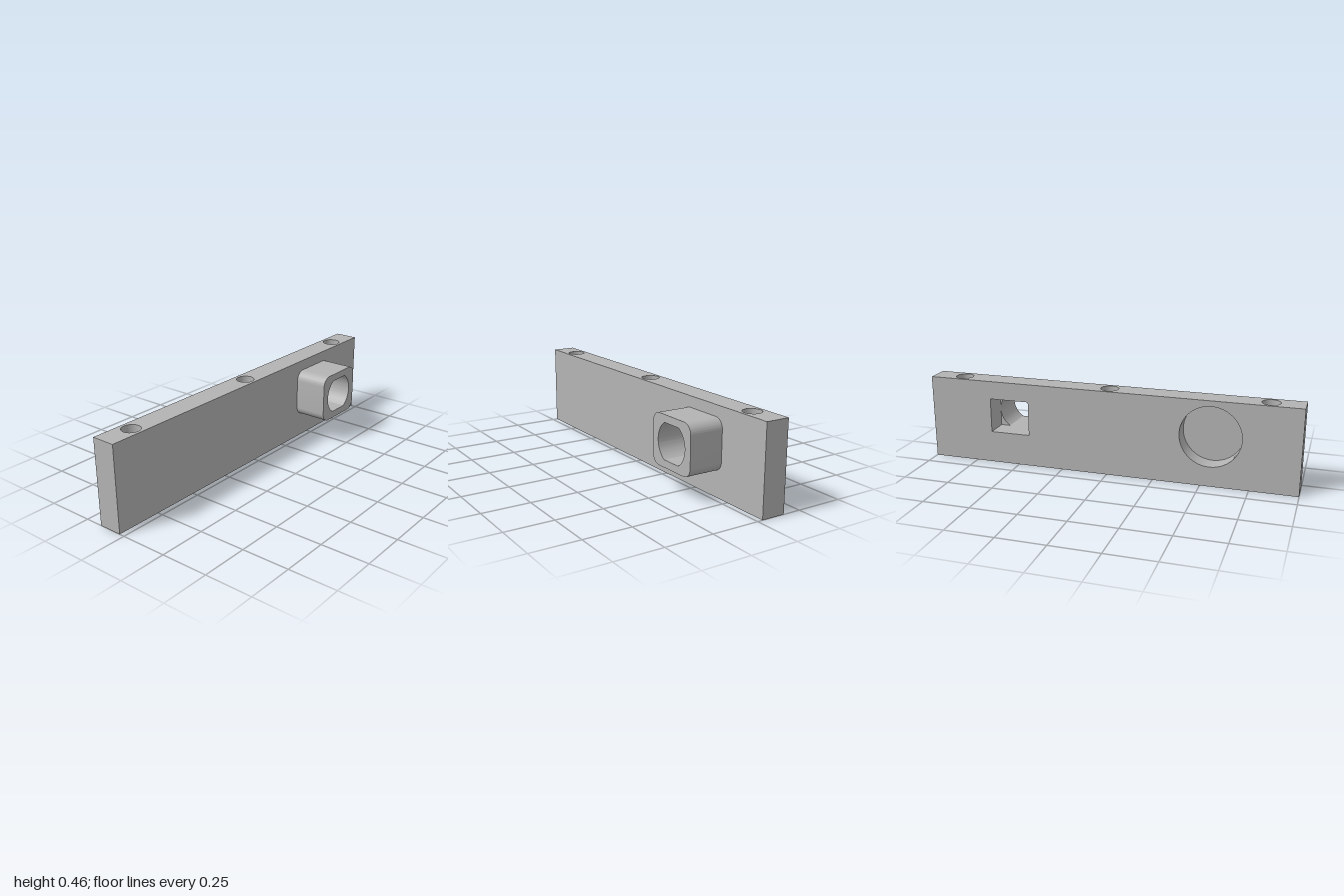
import * as THREE from 'three';
import { toCreasedNormals } from 'three/addons/utils/BufferGeometryUtils.js';

const X0 = -0.154, X1 = -0.028, X2 = 0.154, H = 0.456; // plate back, plate front, boss end, height
const XM = (X0 + X1) / 2, CY = 0.266, SLOT_Z = -0.546, POCKET_Z = 0.546;
const POCKET_R = 0.16, POCKET_DEPTH = 0.1, BORE_R = 0.047;

function rect(w, h, cx = 0, cy = 0, Type = THREE.Shape) {
  const s = new Type();
  s.moveTo(cx - w / 2, cy - h / 2);
  s.lineTo(cx + w / 2, cy - h / 2);
  s.lineTo(cx + w / 2, cy + h / 2);
  s.lineTo(cx - w / 2, cy + h / 2);
  s.closePath();
  return s;
}

function circle(cx, cy, r) {
  const p = new THREE.Path();
  p.absarc(cx, cy, r, 0, Math.PI * 2, false);
  return p;
}

function roundedRect(w, h, r, cx, cy) {
  const s = new THREE.Shape(), a = w / 2 - r, b = h / 2 - r, q = Math.PI / 2;
  s.absarc(cx + a, cy + b, r, 0, q, false);
  s.absarc(cx - a, cy + b, r, q, 2 * q, false);
  s.absarc(cx - a, cy - b, r, 2 * q, 3 * q, false);
  s.absarc(cx + a, cy - b, r, 3 * q, 4 * q, false);
  s.closePath();
  return s;
}

export function createModel() {
  const group = new THREE.Group();
  const grey = new THREE.MeshStandardMaterial({ color: 0xb3b3b3, side: THREE.DoubleSide });
  grey.name = 'grey';
  const add = (name, geo) => {
    const m = new THREE.Mesh(geo, grey);
    m.name = name;
    group.add(m);
    return m;
  };

  // Side faces of the plate; shape x runs along -z
  const outer = rect(2, H, 0, H / 2);
  outer.holes.push(rect(0.218, 0.186, -SLOT_Z, CY, THREE.Path));
  add('plateLeftFace', new THREE.ShapeGeometry(outer).rotateY(Math.PI / 2).translate(X1, 0, 0));
  const inner = rect(2, H, 0, H / 2);
  inner.holes.push(rect(0.218, 0.186, SLOT_Z, CY, THREE.Path), circle(POCKET_Z, CY, POCKET_R));
  add('plateRightFace', new THREE.ShapeGeometry(inner, 32).rotateY(-Math.PI / 2).translate(X0, 0, 0));

  // Top and bottom edges with three bores
  const edge = rect(X1 - X0, 2, XM, 0);
  const boreZ = [-0.83, 0, 0.83];
  boreZ.forEach(z => edge.holes.push(circle(XM, z, BORE_R)));
  add('plateTop', new THREE.ShapeGeometry(edge, 24).rotateX(-Math.PI / 2).translate(0, H, 0));
  add('plateBottom', new THREE.ShapeGeometry(edge, 24).rotateX(Math.PI / 2));
  boreZ.forEach(z => add('boreWall',
    new THREE.CylinderGeometry(BORE_R, BORE_R, H, 48, 1, true).translate(XM, H / 2, z)));

  // Plate ends
  const end = () => new THREE.PlaneGeometry(X1 - X0, H);
  add('plateFront', end().translate(XM, H / 2, 1));
  add('plateBack', end().rotateY(Math.PI).translate(XM, H / 2, -1));

  // Rectangular opening through the plate
  for (const s of [-1, 1]) {
    add('slotWall', new THREE.PlaneGeometry(X1 - X0, 0.218)
      .rotateX(s * Math.PI / 2).translate(XM, CY + s * 0.093, SLOT_Z));
    add('slotWall', new THREE.PlaneGeometry(X1 - X0, 0.186)
      .rotateY(s > 0 ? Math.PI : 0).translate(XM, CY, SLOT_Z + s * 0.109));
  }

  // Blind round pocket
  add('pocketWall', new THREE.CylinderGeometry(POCKET_R, POCKET_R, POCKET_DEPTH, 64, 1, true)
    .rotateZ(Math.PI / 2).translate(X0 + POCKET_DEPTH / 2, CY, POCKET_Z));
  add('pocketFloor', new THREE.CircleGeometry(POCKET_R, 64)
    .rotateY(-Math.PI / 2).translate(X0 + POCKET_DEPTH, CY, POCKET_Z));

  // Rounded boss with a double-flat bore
  const boss = roundedRect(0.305, 0.264, 0.052, -SLOT_Z, CY);
  const bore = new THREE.Path(), a = Math.asin(0.093 / 0.109);
  bore.absarc(-SLOT_Z, CY, 0.109, -a, a, false);
  bore.absarc(-SLOT_Z, CY, 0.109, Math.PI - a, Math.PI + a, false);
  bore.closePath();
  boss.holes.push(bore);
  const bossGeo = new THREE.ExtrudeGeometry(boss, { depth: X2 - X1, bevelEnabled: false, curveSegments: 16 });
  add('boss', toCreasedNormals(bossGeo.rotateY(Math.PI / 2).translate(X1, 0, 0), 0.4));

  return group;
}
